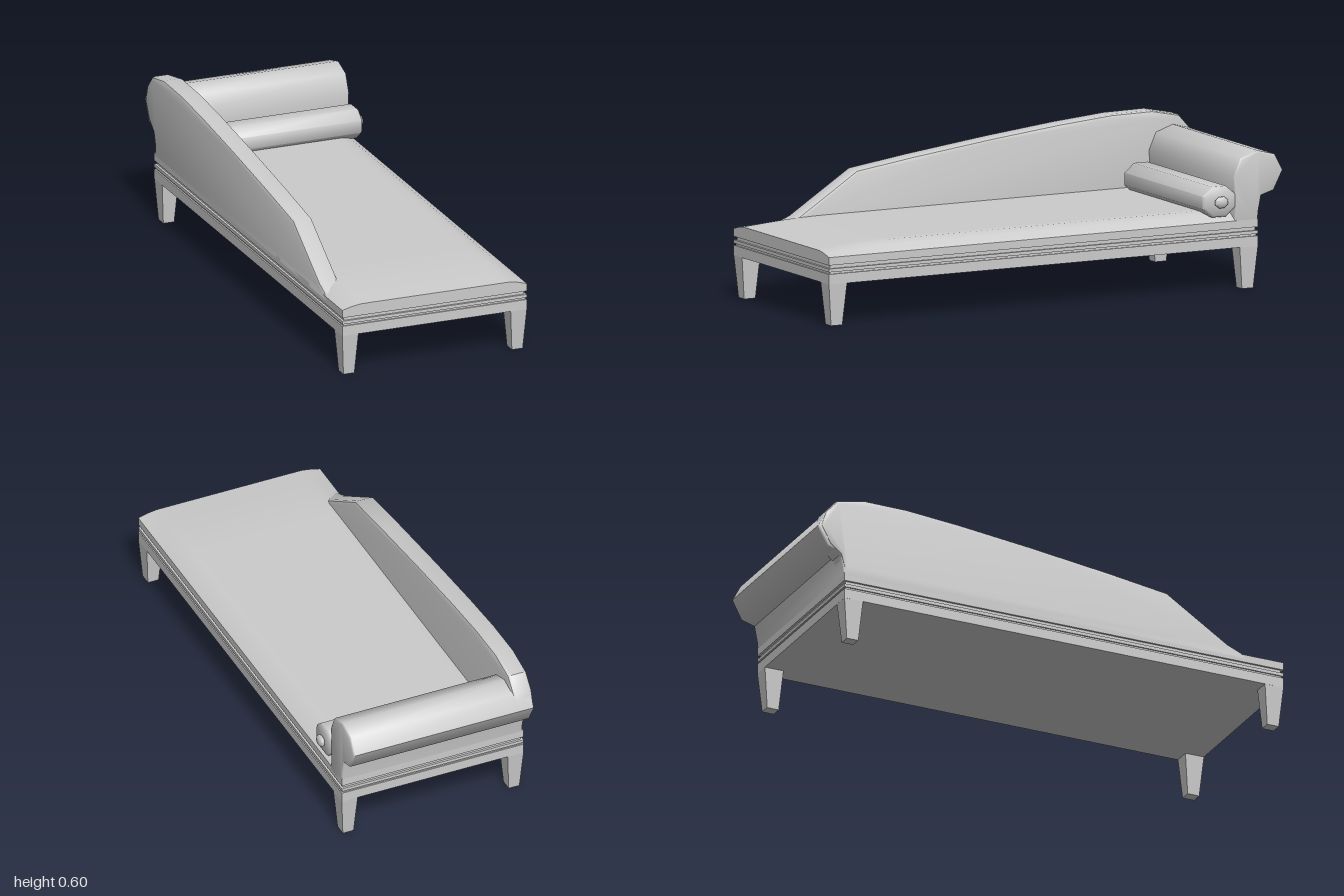
import * as THREE from 'three';
import { toCreasedNormals } from 'three/addons/utils/BufferGeometryUtils.js';

const X0 = -0.4, X1 = 0.375, Z0 = -0.89, Z1 = 1;
const CX = (X0 + X1) / 2, CZ = (Z0 + Z1) / 2;

export function createModel() {
  const group = new THREE.Group();
  const material = new THREE.MeshStandardMaterial({ color: 0xcccccc });

  const add = (name, geometry, crease = 0.5) => {
    const mesh = new THREE.Mesh(toCreasedNormals(geometry, crease), material);
    mesh.name = name;
    group.add(mesh);
    return mesh;
  };

  // Extrude a [z, y] outline across the width from xa to xb
  const extrudeAcross = (points, xa, xb, bevel) => {
    const shape = new THREE.Shape(points.map(([z, y]) => new THREE.Vector2(-z, y)));
    const g = new THREE.ExtrudeGeometry(shape, {
      depth: xb - xa - 2 * bevel, bevelEnabled: true, bevelSegments: 2,
      bevelSize: bevel, bevelThickness: bevel, bevelOffset: -bevel,
    });
    return g.rotateY(Math.PI / 2).translate(xa + bevel, 0, 0);
  };

  // Stepped frame: [name, bottom, top, inset]
  for (const [name, y0, y1, inset] of [
    ['lowerRail', 0.165, 0.205, 0],
    ['railGroove', 0.205, 0.213, 0.006],
    ['upperRail', 0.213, 0.226, 0],
    ['cushionGroove', 0.226, 0.24, 0.009],
  ]) {
    const g = new THREE.BoxGeometry(X1 - X0 - 2 * inset, y1 - y0, Z1 - Z0 - 2 * inset);
    add(name, g.translate(CX, (y0 + y1) / 2, CZ));
  }

  // Tapered legs
  for (const [name, x, z] of [
    ['frontRightLeg', -0.366, 0.96], ['frontLeftLeg', 0.341, 0.96],
    ['backRightLeg', -0.366, -0.85], ['backLeftLeg', 0.341, -0.85],
  ]) {
    const g = new THREE.BoxGeometry(0.068, 0.167, 0.08);
    const p = g.attributes.position;
    for (let i = 0; i < p.count; i++) {
      if (p.getY(i) < 0) p.setXYZ(i, p.getX(i) * 0.67, p.getY(i), p.getZ(i) * 0.62);
    }
    add(name, g.translate(x, 0.0835, z));
  }

  // Seat cushion, its top crowned towards the middle
  const seat = new THREE.BoxGeometry(X1 - X0, 0.03, Z1 - Z0, 20, 1, 32);
  seat.translate(CX, 0.255, CZ);
  const sp = seat.attributes.position;
  const ease = (t) => Math.sin(Math.min(1, Math.max(0, t)) * Math.PI / 2);
  for (let i = 0; i < sp.count; i++) {
    if (sp.getY(i) < 0.26) continue;
    const fx = ease(Math.min((sp.getX(i) - X0) / 0.09, (X1 - sp.getX(i)) / 0.085));
    const fz = 0.45 + 0.55 * ease((Z1 - sp.getZ(i)) / 0.35);
    sp.setY(i, 0.271 + 0.037 * fx * fz);
  }
  add('seatCushion', seat, 0.7);

  // Sloping side back, wrapping round the head roll
  add('sideBack', extrudeAcross([
    [0.86, 0.25], [0.82, 0.28], [0.76, 0.305], [0.5, 0.47], [0.25, 0.505], [-0.1, 0.548],
    [-0.4, 0.58], [-0.62, 0.598], [-0.8, 0.6], [-0.92, 0.575], [-0.97, 0.52],
    [-0.99, 0.46], [-0.95, 0.385], [-0.905, 0.35], [-0.89, 0.3], [-0.889, 0.25],
  ], X0, -0.317, 0.014), 0.6);

  // Head rest: a faceted roll above a short waisted panel
  add('headRest', extrudeAcross([
    [-0.79, 0.25], [-0.79, 0.375], [-0.784, 0.445], [-0.815, 0.515], [-0.89, 0.54],
    [-0.965, 0.52], [-1, 0.455], [-0.96, 0.378], [-0.905, 0.362], [-0.893, 0.3], [-0.888, 0.25],
  ], -0.395, X1, 0.006), 0.95);

  // Eight-sided bolster with a button at each end
  const half = [[0, 0.35], [0.014, 0.35], [0.024, 0.342], [0.024, 0.336], [0.016, 0.329],
    [0.056, 0.327], [0.065, 0.318]];
  const profile = [
    ...half.map(([r, a]) => new THREE.Vector2(r, -a)),
    ...half.slice().reverse().map(([r, a]) => new THREE.Vector2(r, a)),
  ];
  const bolster = new THREE.LatheGeometry(profile, 8, Math.PI / 8);
  bolster.rotateZ(-Math.PI / 2).scale(1, 1, 1.2).translate(0.05, 0.351, -0.722);
  add('bolster', bolster, 0.95);

  return group;
}
